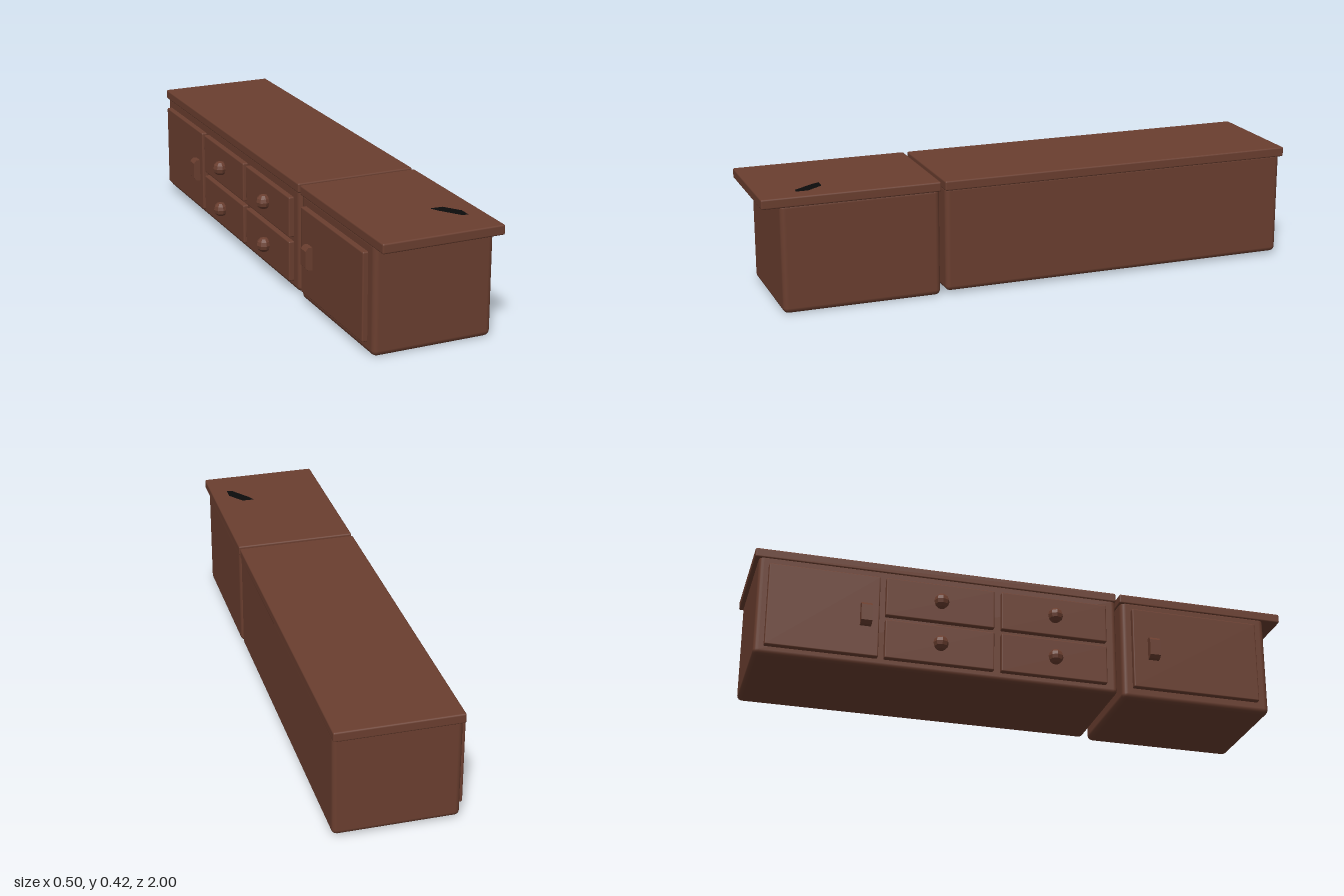
import * as THREE from 'three';
import { RoundedBoxGeometry } from 'three/addons/geometries/RoundedBoxGeometry.js';

export function createModel() {
  const model = new THREE.Group();
  model.name = 'sideboard';
  const wood = new THREE.MeshStandardMaterial({ color: 0x6a3e2f });
  wood.name = 'brown wood';
  const black = new THREE.MeshStandardMaterial({ color: 0x0c0c0c });
  black.name = 'black';

  function add(name, geometry, material = wood) {
    const mesh = new THREE.Mesh(geometry, material);
    mesh.name = name;
    model.add(mesh);
    return mesh;
  }

  // Box with softened edges, given by its limits on each axis
  function block(name, [x0, x1], [y0, y1], [z0, z1], radius) {
    const mesh = add(name, new RoundedBoxGeometry(x1 - x0, y1 - y0, z1 - z0, 2, radius));
    mesh.position.set((x0 + x1) / 2, (y0 + y1) / 2, (z0 + z1) / 2);
  }

  // Faceted round knob
  function knob(y, z) {
    const geometry = new THREE.SphereGeometry(0.028, 8, 6).toNonIndexed();
    geometry.computeVertexNormals();
    add('knob', geometry).position.set(-0.225, y, z);
  }

  // Upright door handle, chamfered towards its outer face
  function handle(z) {
    const shape = new THREE.Shape();
    shape.moveTo(-0.205, 0.155);
    shape.lineTo(-0.205, 0.24);
    shape.lineTo(-0.227, 0.24);
    shape.lineTo(-0.238, 0.228);
    shape.lineTo(-0.238, 0.168);
    shape.lineTo(-0.227, 0.157);
    const geometry = new THREE.ExtrudeGeometry(shape, { depth: 0.04, bevelEnabled: false });
    add('doorHandle', geometry).position.z = z - 0.02;
  }

  // Two cabinets with overhanging tops
  block('longCabinet', [-0.193, 0.248], [0.012, 0.4], [-0.985, 0.343], 0.018);
  block('shortCabinet', [-0.193, 0.248], [0.002, 0.4], [0.362, 0.935], 0.02);
  block('longTop', [-0.196, 0.25], [0.385, 0.421], [-1, 0.343], 0.006);
  block('shortTop', [-0.196, 0.25], [0.385, 0.421], [0.358, 1], 0.006);

  // Doors
  const front = [-0.212, -0.185];
  block('longCabinetDoor', front, [0.042, 0.358], [-0.95, -0.55], 0.005);
  block('shortCabinetDoor', front, [0.042, 0.358], [0.4, 0.89], 0.005);
  handle(-0.6);
  handle(0.477);

  // Two columns of two drawers
  for (const z of [-0.328, 0.098]) {
    for (const y of [0.117, 0.283]) {
      block('drawerFront', front, [y - 0.075, y + 0.075], [z - 0.2, z + 0.2], 0.005);
      knob(y, z);
    }
  }

  // Small dark mark on the short top
  const mark = new THREE.Shape([[0.1, -0.76], [0.115, -0.79], [0.165, -0.86], [0.187, -0.865],
    [0.187, -0.82], [0.145, -0.762]].map(([x, y]) => new THREE.Vector2(x, y)));
  const patch = add('topMark', new THREE.ExtrudeGeometry(mark, { depth: 0.002, bevelEnabled: false }), black);
  patch.rotation.x = -Math.PI / 2;
  patch.position.y = 0.4195;

  return model;
}
